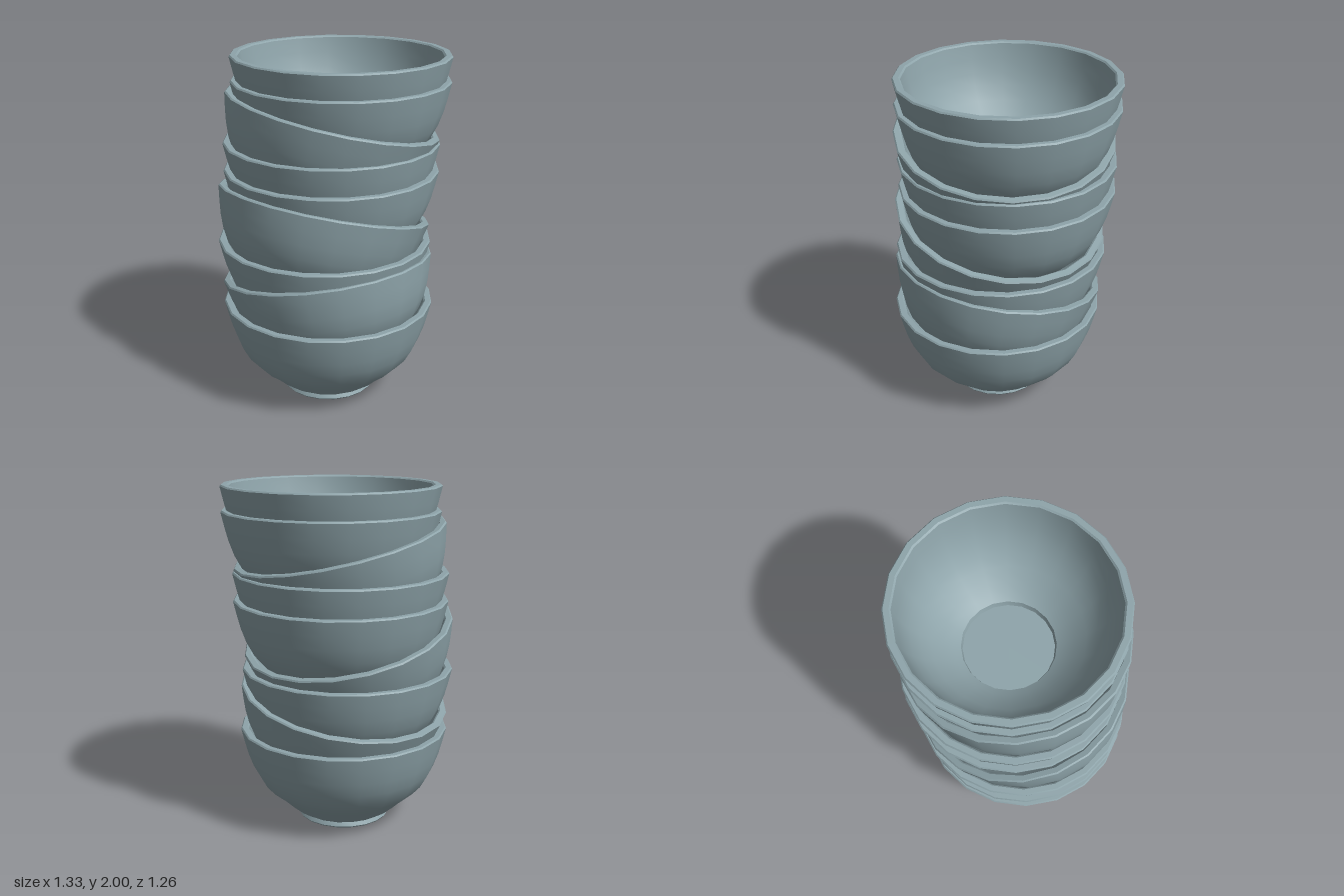
import * as THREE from 'three';
import { toCreasedNormals } from 'three/addons/utils/BufferGeometryUtils.js';

const HEIGHT = 0.57;

// Closed bowl section: underside, foot, outer wall, rim, inner wall, floor
function bowlGeometry() {
  const profile = [
    [0, 0.005], [0.25, 0.005], [0.256, 0], [0.27, 0], [0.276, 0.008], [0.264, 0.03], [0.285, 0.042],
    [0.335, 0.076], [0.39, 0.13], [0.455, 0.184], [0.505, 0.24], [0.548, 0.32],
    [0.577, 0.4], [0.598, 0.48], [0.617, 0.562], [0.61, HEIGHT],
    [0.58, HEIGHT], [0.571, 0.562], [0.556, 0.48], [0.535, 0.4], [0.507, 0.33],
    [0.462, 0.252], [0.41, 0.192], [0.35, 0.136], [0.295, 0.092], [0.258, 0.07],
    [0.25, 0.04], [0, 0.04],
  ].map(([r, y]) => new THREE.Vector2(r, y));
  const geometry = toCreasedNormals(new THREE.LatheGeometry(profile, 20), 0.56);
  geometry.translate(0, -HEIGHT, 0); // origin at the rim centre
  return geometry;
}

export function createModel() {
  const stack = new THREE.Group();
  stack.name = 'bowlStack';
  const glaze = new THREE.MeshStandardMaterial({ color: 0x8ea4aa });
  glaze.name = 'greyBlueGlaze';
  const geometry = bowlGeometry();
  const up = new THREE.Vector3(0, 1, 0);

  // Rim centre x, y, z, then the lean of the bowl axis in x and z
  const bowls = [
    [-0.05, 0.57, 0.015, 0, 0],
    [-0.05, 0.77, 0.005, 0, -0.21],
    [-0.05, 0.945, -0.015, 0, 0],
    [-0.05, 1.15, -0.015, 0.27, 0],
    [0.005, 1.355, -0.015, 0, 0],
    [0.005, 1.515, -0.015, 0, 0],
    [0.005, 1.67, 0, 0.2, 0.117],
    [0.05, 1.86, 0.015, 0, 0],
    [0.05, 2, 0.015, 0, 0],
  ];
  bowls.forEach(([x, y, z, leanX, leanZ], i) => {
    const bowl = new THREE.Mesh(geometry, glaze);
    bowl.name = `bowl${i + 1}`;
    bowl.position.set(x, y, z);
    bowl.quaternion.setFromUnitVectors(up, new THREE.Vector3(leanX, 1, leanZ).normalize());
    stack.add(bowl);
  });
  return stack;
}
